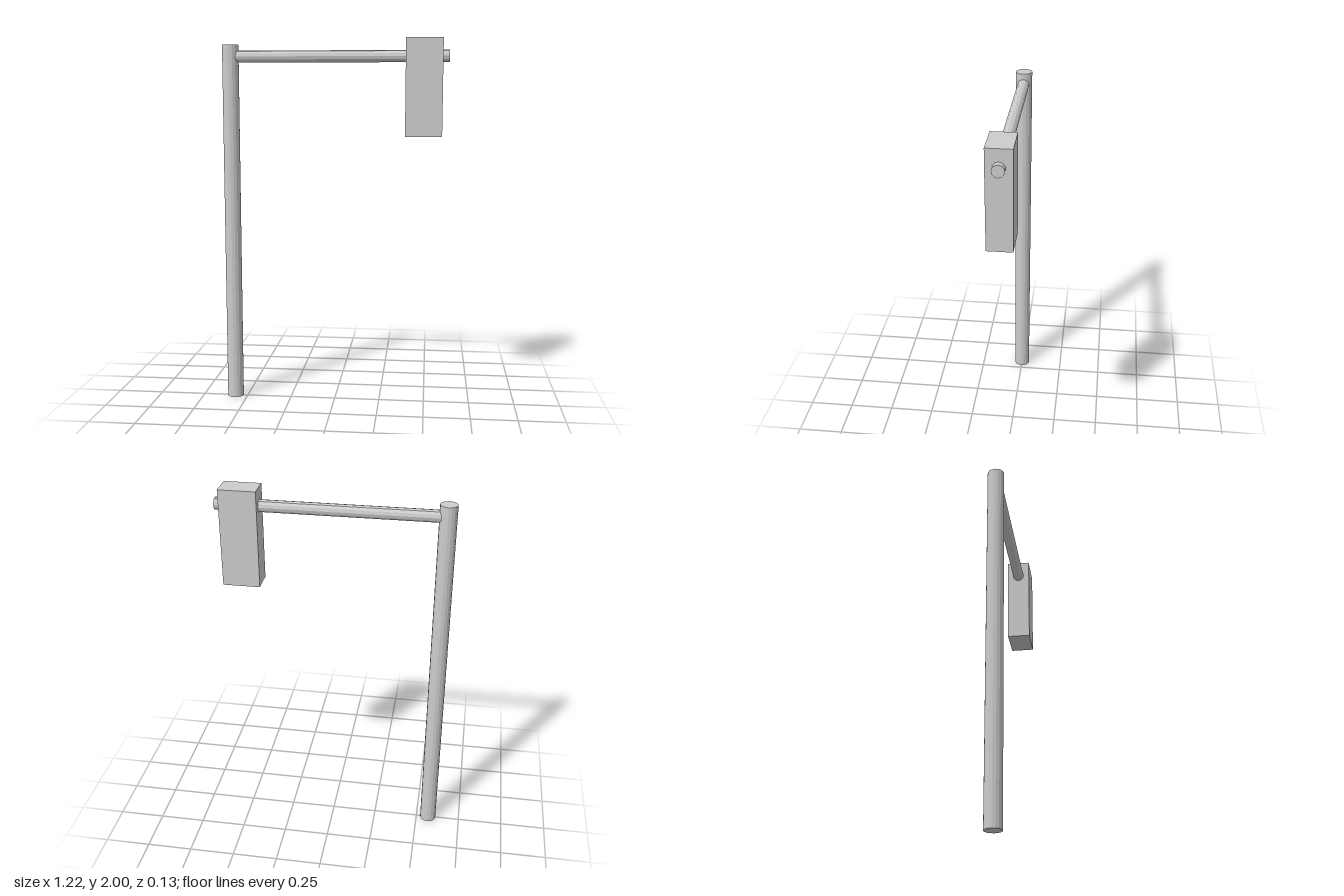
import * as THREE from 'three';

export function createModel() {
  const model = new THREE.Group();
  const grey = new THREE.MeshStandardMaterial({ color: 0xcccccc, flatShading: true });
  grey.name = 'lightGrey';

  const add = (name, geometry, x, y) => {
    const mesh = new THREE.Mesh(geometry, grey);
    mesh.name = name;
    mesh.position.set(x, y, 0);
    model.add(mesh);
    return mesh;
  };

  // Upright post
  const postX = -0.568, postHeight = 1.968;
  add('post', new THREE.CylinderGeometry(0.045, 0.045, postHeight, 16), postX, postHeight / 2);

  // Horizontal arm, from inside the post through the hanging box
  const armEnd = 0.612;
  const arm = add('arm', new THREE.CylinderGeometry(0.032, 0.032, armEnd - postX, 12),
    (armEnd + postX) / 2, 1.905);
  arm.rotation.z = Math.PI / 2;

  // Box hung on the arm
  add('hangingBox', new THREE.BoxGeometry(0.196, 0.52, 0.131), 0.48, 1.74);

  return model;
}
